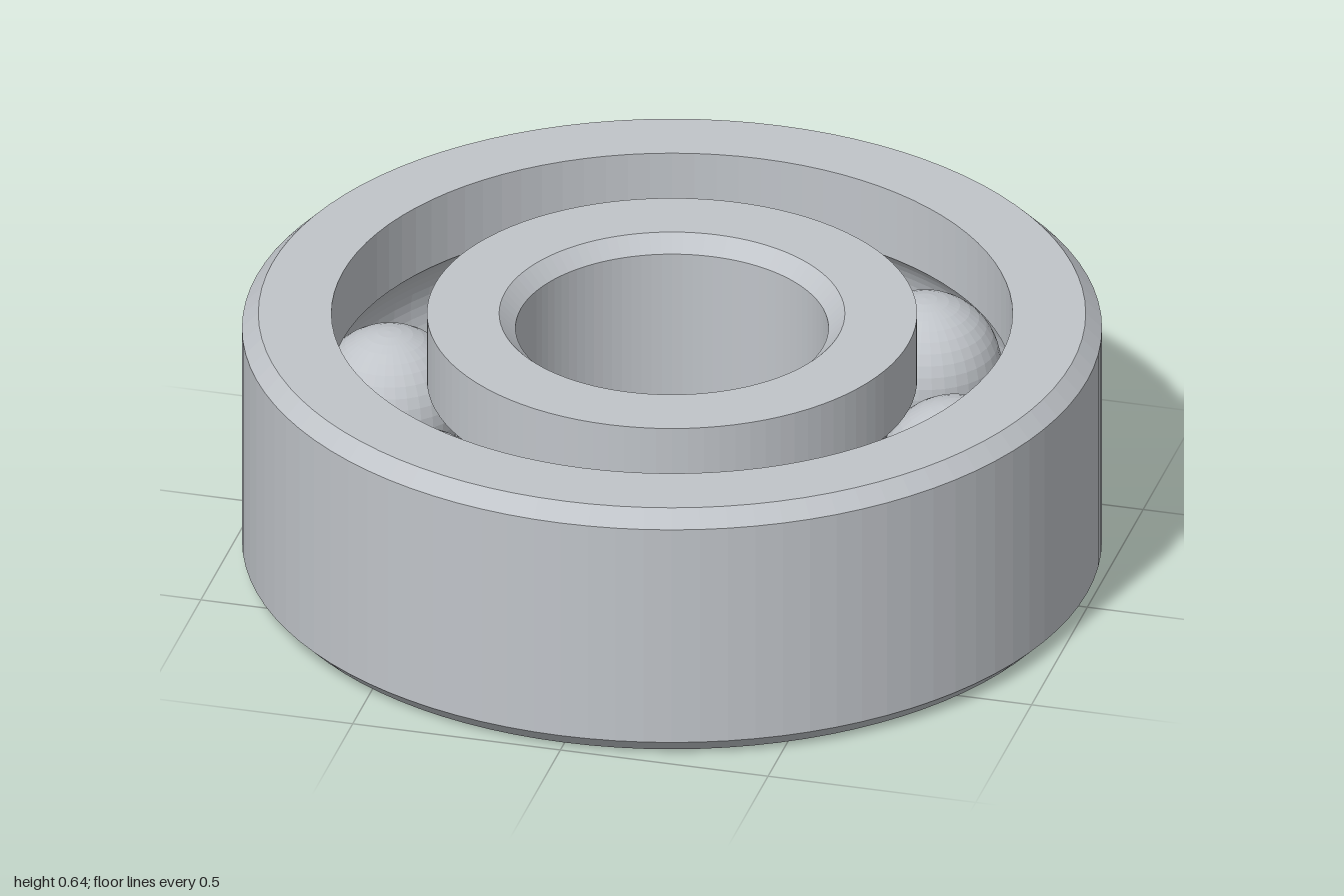
import * as THREE from 'three';

const HEIGHT = 0.636, MID = HEIGHT / 2, CHAMFER = 0.038;
const PITCH = 0.68, BALL_R = 0.177, GROOVE_R = 0.18;
const INNER_WALL = 0.57, OUTER_WALL = 0.792, BORE = 0.364;

// Gives each face its own normal
function faceted(geometry) {
  const flat = geometry.toNonIndexed();
  flat.computeVertexNormals();
  return flat;
}

// Arc of the ball groove where it cuts a ring wall, from one edge to the other
function groove(wall, steps = 14) {
  const dr = wall - PITCH;
  const half = Math.acos(Math.abs(dr) / GROOVE_R);
  const side = Math.sign(dr);
  const points = [];
  for (let i = 0; i <= steps; i++) {
    const a = half * (1 - (2 * i) / steps) * side;
    points.push([PITCH + side * GROOVE_R * Math.cos(a), MID + GROOVE_R * Math.sin(a)]);
  }
  return points;
}

// Turns a closed counter-clockwise (radius, height) profile into a ring
function ring(name, profile, material) {
  const points = [...profile, profile[0]].map(([r, y]) => new THREE.Vector2(r, y));
  const mesh = new THREE.Mesh(faceted(new THREE.LatheGeometry(points, 96)), material);
  mesh.name = name;
  return mesh;
}

export function createModel() {
  const group = new THREE.Group();
  group.name = 'ballBearing';
  const steel = new THREE.MeshStandardMaterial({ color: 0xc0c4c9 });
  steel.name = 'steel';

  // Outer ring: chamfered outside, grooved inside
  group.add(ring('outerRing', [
    [OUTER_WALL, 0], [1 - CHAMFER, 0], [1, CHAMFER],
    [1, HEIGHT - CHAMFER], [1 - CHAMFER, HEIGHT], [OUTER_WALL, HEIGHT],
    ...groove(OUTER_WALL),
  ], steel));

  // Inner ring: grooved outside, chamfered at the bore
  group.add(ring('innerRing', [
    [BORE + CHAMFER, 0], [INNER_WALL, 0],
    ...groove(INNER_WALL),
    [INNER_WALL, HEIGHT], [BORE + CHAMFER, HEIGHT],
    [BORE, HEIGHT - CHAMFER], [BORE, CHAMFER],
  ], steel));

  // Eight balls around the race
  const balls = new THREE.Group();
  balls.name = 'balls';
  const ballGeometry = faceted(new THREE.SphereGeometry(BALL_R, 36, 20));
  for (let i = 0; i < 8; i++) {
    const a = (i * Math.PI) / 4;
    const ball = new THREE.Mesh(ballGeometry, steel);
    ball.name = `ball${i + 1}`;
    ball.position.set(PITCH * Math.cos(a), MID, PITCH * Math.sin(a));
    balls.add(ball);
  }
  group.add(balls);
  return group;
}
